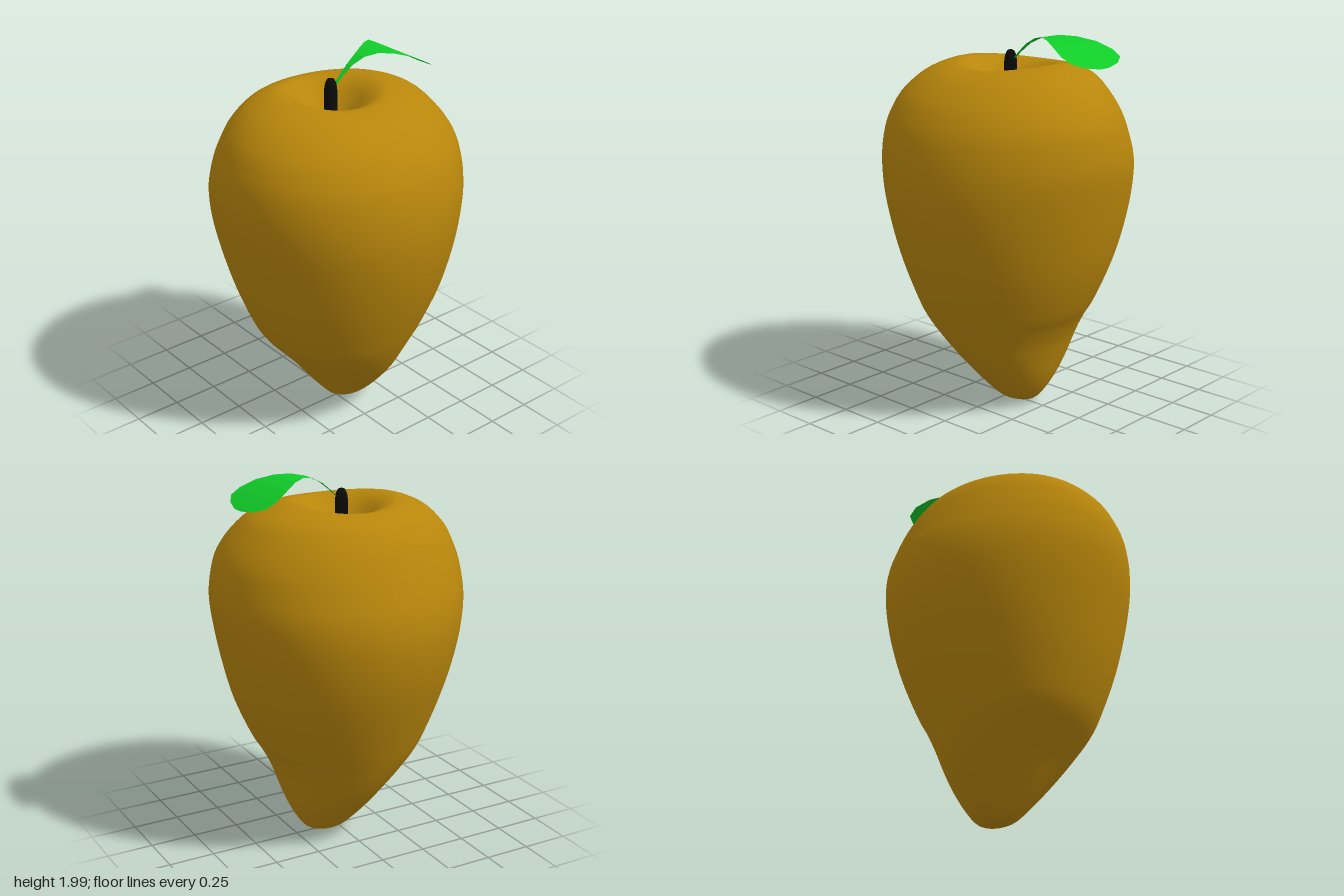
import * as THREE from 'three';

// Fruit cross-sections, bottom to top then into the dimple: y, x min, x max, z min, z max, rim saddle
const SECTIONS = [
  [0.005, 0.08, 0.08, 0, 0, 0],
  [0.03, -0.03, 0.18, -0.08, 0.08, 0],
  [0.1, -0.1, 0.24, -0.16, 0.16, 0],
  [0.2, -0.18, 0.29, -0.25, 0.25, 0],
  [0.3, -0.255, 0.325, -0.325, 0.33, 0],
  [0.4, -0.34, 0.36, -0.385, 0.395, 0],
  [0.5, -0.425, 0.41, -0.435, 0.45, 0],
  [0.6, -0.48, 0.47, -0.48, 0.495, 0],
  [0.8, -0.555, 0.555, -0.56, 0.57, 0],
  [1.0, -0.61, 0.61, -0.625, 0.625, 0],
  [1.2, -0.655, 0.65, -0.655, 0.655, 0],
  [1.36, -0.675, 0.67, -0.64, 0.65, 0],
  [1.5, -0.665, 0.655, -0.59, 0.62, 0],
  [1.6, -0.635, 0.625, -0.545, 0.575, 0],
  [1.7, -0.58, 0.56, -0.49, 0.5, 0],
  [1.795, -0.47, 0.46, -0.41, 0.38, 0.004],
  [1.843, -0.32, 0.3, -0.31, 0.25, 0.012],
  [1.82, -0.22, 0.2, -0.24, 0.18, 0.012],
  [1.75, -0.14, 0.12, -0.155, 0.095, 0.004],
  [1.69, -0.075, 0.055, -0.095, 0.035, 0],
  [1.67, -0.01, -0.01, -0.03, -0.03, 0],
];

// Leaf cross-sections from stalk to tip: x, y, z min, z max
const LEAF = [
  [0.0, 1.85, -0.038, -0.022],
  [0.05, 1.9, -0.042, -0.018],
  [0.11, 1.95, -0.05, -0.012],
  [0.18, 1.985, -0.07, 0.002],
  [0.25, 1.998, -0.108, 0.03],
  [0.32, 1.992, -0.158, 0.072],
  [0.4, 1.968, -0.223, 0.117],
  [0.475, 1.931, -0.26, 0.145],
  [0.53, 1.9, -0.252, 0.133],
  [0.565, 1.878, -0.188, 0.07],
  [0.585, 1.865, -0.09, -0.02],
];

// Joins rows of equally many points into a surface
function gridGeometry(rows, closed) {
  const n = rows[0].length;
  const index = [];
  for (let i = 0; i < rows.length - 1; i++) {
    for (let j = 0; j < (closed ? n : n - 1); j++) {
      const k = (j + 1) % n;
      const a = i * n + j, b = i * n + k, c = a + n, d = b + n;
      index.push(a, c, b, b, c, d);
    }
  }
  const geometry = new THREE.BufferGeometry().setFromPoints(rows.flat());
  geometry.setIndex(index);
  geometry.computeVertexNormals();
  return geometry;
}

// Smooth interpolation between the fruit's sections
function sectionAt(t) {
  const last = SECTIONS.length - 1;
  const i = Math.min(Math.floor(t), last - 1);
  const f = t - i;
  const p = [i - 1, i, i + 1, i + 2].map((k) => SECTIONS[THREE.MathUtils.clamp(k, 0, last)]);
  return p[1].map((v, c) => {
    const a = p[0][c], b = p[2][c], d = p[3][c];
    return v + 0.5 * f * (b - a + f * (2 * a - 5 * v + 4 * b - d + f * (3 * (v - b) + d - a)));
  });
}

function fruitGeometry() {
  const steps = (SECTIONS.length - 1) * 4;
  const sides = 64;
  const rows = [];
  for (let i = 0; i <= steps; i++) {
    const [y, x0, x1, z0, z1, saddle] = sectionAt(i / 4);
    const row = [];
    for (let j = 0; j < sides; j++) {
      const a = (j / sides) * Math.PI * 2;
      row.push(new THREE.Vector3(
        (x0 + x1) / 2 + ((x1 - x0) / 2) * Math.cos(a),
        y + saddle * Math.cos(2 * a),
        (z0 + z1) / 2 + ((z1 - z0) / 2) * Math.sin(a)
      ));
    }
    rows.push(row);
  }
  return gridGeometry(rows, true);
}

function addPart(group, name, geometry, options) {
  const mesh = new THREE.Mesh(geometry, new THREE.MeshStandardMaterial(options));
  mesh.name = name;
  group.add(mesh);
  return mesh;
}

export function createModel() {
  const group = new THREE.Group();
  group.name = 'fruit';

  addPart(group, 'fruitBody', fruitGeometry(), { color: 0xb8860b });

  // Stem with a rounded tip, rooted in the dimple
  const profile = [[0.034, 0], [0.034, 0.2], [0.029, 0.235], [0.018, 0.258], [0, 0.265]];
  const stem = addPart(group, 'stem',
    new THREE.LatheGeometry(profile.map(([r, y]) => new THREE.Vector2(r, y)), 16),
    { color: 0x0a0a0a });
  stem.position.set(-0.012, 1.645, -0.03);

  // Thin arched leaf
  const rows = LEAF.map(([x, y, z0, z1]) =>
    [0, 0.5, 1].map((t) => new THREE.Vector3(x, y, z1 + (z0 - z1) * t)));
  addPart(group, 'leaf', gridGeometry(rows.map((r) => r.reverse()), false),
    { color: 0x10cc28, side: THREE.DoubleSide, flatShading: true });

  return group;
}
